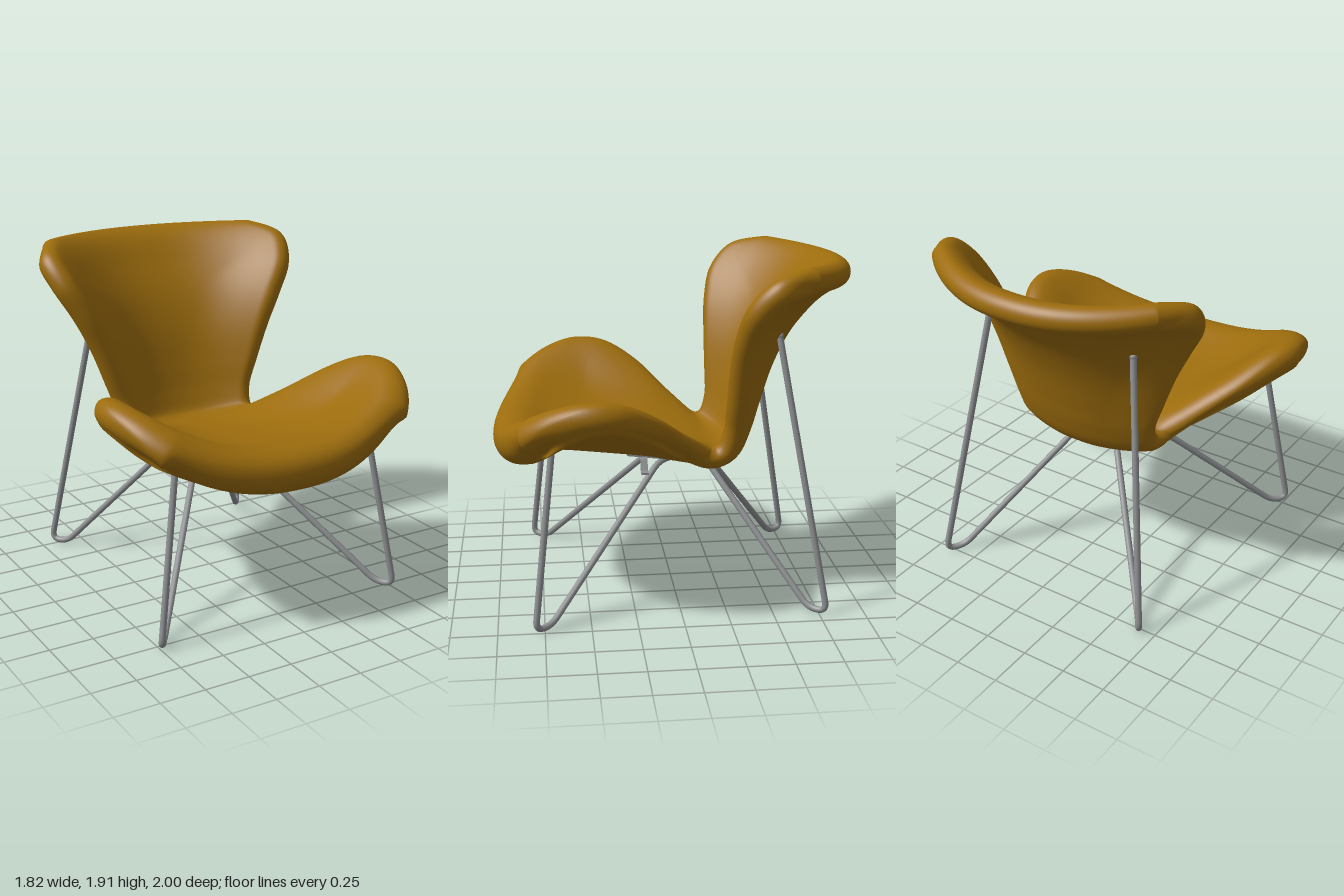
import * as THREE from 'three';
import { mergeVertices } from 'three/addons/utils/BufferGeometryUtils.js';

const V = (x, y, z) => new THREE.Vector3(x, y, z);

// Paired stations from front lip to top of backrest:
// centre [y, z], rim [x, y, z], roll radius at the rim
const stations = [
  [0.84, 0.99, 0.74, 1.00, 0.80, 0.128],
  [0.91, 0.86, 0.855, 1.12, 0.68, 0.115],
  [0.91, 0.70, 0.91, 1.20, 0.50, 0.092],
  [0.875, 0.40, 0.88, 1.195, 0.34, 0.083],
  [0.835, 0.10, 0.76, 1.09, 0.15, 0.075],
  [0.805, -0.10, 0.59, 0.95, 0.0, 0.065],
  [0.788, -0.25, 0.46, 0.84, -0.14, 0.06],
  [0.825, -0.35, 0.43, 0.86, -0.23, 0.06],
  [0.95, -0.41, 0.44, 0.97, -0.275, 0.06],
  [1.10, -0.455, 0.49, 1.12, -0.28, 0.063],
  [1.33, -0.53, 0.57, 1.34, -0.28, 0.068],
  [1.53, -0.63, 0.66, 1.53, -0.29, 0.07],
  [1.67, -0.74, 0.755, 1.70, -0.34, 0.07],
  [1.80, -0.87, 0.795, 1.83, -0.475, 0.07],
  [1.835, -0.99, 0.70, 1.86, -0.69, 0.07],
];
const spine = new THREE.CatmullRomCurve3(stations.map(s => V(s[5], s[0], s[1])));
const rim = new THREE.CatmullRomCurve3(stations.map(s => V(s[2], s[3], s[4])));

// Middle surface of the shell: u runs front to top, v runs side to side
function middle(u, v) {
  const c = spine.getPoint(u), e = rim.getPoint(u), a = Math.abs(v);
  const rise = a ** 2.4 * (1.3 - 0.3 * a ** 8);
  return V(e.x * v, c.y + (e.y - c.y) * rise, c.z + (e.z - c.z) * a ** 2.2);
}

function normalAt(u, v) {
  const h = 0.025;
  const uc = THREE.MathUtils.clamp(u, h, 1 - h), vc = THREE.MathUtils.clamp(v, -1 + h, 1 - h);
  const pu = middle(uc + h, vc).sub(middle(uc - h, vc));
  const pv = middle(uc, vc + h).sub(middle(uc, vc - h));
  return pv.cross(pu).normalize();
}

// Outline of the left half: front lip, side, top edge
const outline = [];
for (let i = 0; i <= 60; i++) outline.push(middle(0, i / 60));
for (let i = 1; i <= 160; i++) outline.push(middle(i / 160, 1));
for (let i = 59; i >= 0; i--) outline.push(middle(1, i / 60));
const segments = outline.slice(1).map((p, i) => new THREE.Line3(outline[i], p));

function rimDistance(u, v) {
  const p = middle(u, Math.abs(v)), q = V(0, 0, 0);
  let best = Infinity;
  for (const s of segments) best = Math.min(best, s.closestPointToPoint(p, true, q).distanceToSquared(p));
  return Math.sqrt(best);
}

// Half thickness: a round roll along the rim, thinning inwards over the given fade
function halfThickness(u, d, fade) {
  const r = spine.getPoint(u).x, thin = 0.05;
  if (d < r) return r * Math.sqrt(1 - (1 - d / r) ** 2);
  return r + (thin - r) * THREE.MathUtils.smoothstep(d, r, r + fade);
}

function shellGeometry() {
  const nu = 110, nv = 72, pos = [], idx = [];
  for (const side of [1, -1]) {
    const base = pos.length / 3;
    for (let i = 0; i <= nu; i++) {
      for (let j = 0; j <= nv; j++) {
        const u = 0.5 - 0.5 * Math.cos(Math.PI * i / nu);
        const v = -Math.cos(Math.PI * j / nv);
        const edge = i === 0 || j === 0 || i === nu || j === nv;
        const p = middle(u, v);
        if (!edge) {
          const t = halfThickness(u, rimDistance(u, v), side > 0 ? 0.38 : 0.22);
          p.addScaledVector(normalAt(u, v), side * t);
        }
        pos.push(p.x, p.y, p.z);
        if (i < nu && j < nv) {
          const a = base + i * (nv + 1) + j, b = a + 1, c = a + nv + 1, d = c + 1;
          if (side > 0) idx.push(a, b, c, b, d, c);
          else idx.push(a, c, b, b, c, d);
        }
      }
    }
  }
  let g = new THREE.BufferGeometry();
  g.setAttribute('position', new THREE.Float32BufferAttribute(pos, 3));
  g.setIndex(idx);
  g = mergeVertices(g, 1e-5);
  g.computeVertexNormals();
  return g;
}

// Rod through points with rounded bends
function rodGeometry(pts, bend, radius) {
  const path = new THREE.CurvePath();
  let from = pts[0];
  for (let i = 1; i < pts.length - 1; i++) {
    const p = pts[i];
    const cut = q => {
      const d = q.clone().sub(p);
      return p.clone().addScaledVector(d.normalize(), Math.min(bend, p.distanceTo(q) * 0.48));
    };
    const a = cut(pts[i - 1]), b = cut(pts[i + 1]);
    path.add(new THREE.LineCurve3(from, a));
    path.add(new THREE.QuadraticBezierCurve3(a, p, b));
    from = b;
  }
  path.add(new THREE.LineCurve3(from, pts[pts.length - 1]));
  return new THREE.TubeGeometry(path, 400, radius, 10, false);
}

export function createModel() {
  const model = new THREE.Group();
  const upholstery = new THREE.MeshStandardMaterial({ color: 0x9c6c0d });
  upholstery.name = 'mustard upholstery';
  const steel = new THREE.MeshStandardMaterial({ color: 0x8e9092 });
  steel.name = 'grey steel';
  const add = (name, geometry, material) => {
    const m = new THREE.Mesh(geometry, material);
    m.name = name;
    model.add(m);
    return m;
  };

  add('seatShell', shellGeometry(), upholstery);

  // Two bent rods cross under the seat, each forming a front leg and the opposite back leg
  const frontLeg = [V(0.6, 0.97, 0.69), V(0.752, 0.016, 0.80), V(0.69, 0.016, 0.715), V(0.13, 0.742, 0.08)];
  const backLeg = [V(0.125, 0.742, -0.19), V(0.61, 0.016, -0.70), V(0.672, 0.016, -0.79), V(0.46, 1.52, -0.535)];
  for (const s of [1, -1]) {
    const pts = [
      ...frontLeg.map(p => V(p.x * s, p.y, p.z)),
      ...backLeg.map(p => V(-p.x * s, p.y, p.z)),
    ];
    add(s > 0 ? 'leftFrontLegRod' : 'rightFrontLegRod', rodGeometry(pts, 0.06, 0.018), steel);
    // Rounded rod ends
    for (const [name, p] of [['frontRodEnd', pts[0]], ['backRodEnd', pts[7]]]) {
      add(name, new THREE.SphereGeometry(0.021, 12, 8), steel).position.copy(p);
    }
    // Bent tab at each side of the mount
    const tab = new THREE.Shape([[0.15, 0.775], [0.195, 0.775], [0.225, 0.718], [0.27, 0.718],
      [0.27, 0.706], [0.215, 0.706], [0.185, 0.762], [0.15, 0.762]].map(([x, y]) => new THREE.Vector2(x * s, y)));
    add('mountTab', new THREE.ExtrudeGeometry(tab, { depth: 0.04, bevelEnabled: false }), steel).position.z = 0.15;
  }

  // Mounting plate under the seat
  const plate = add('mountPlate', new THREE.BoxGeometry(0.3, 0.02, 0.34), steel);
  plate.position.set(0, 0.772, 0.09);
  plate.rotation.x = -0.12;

  return model;
}
